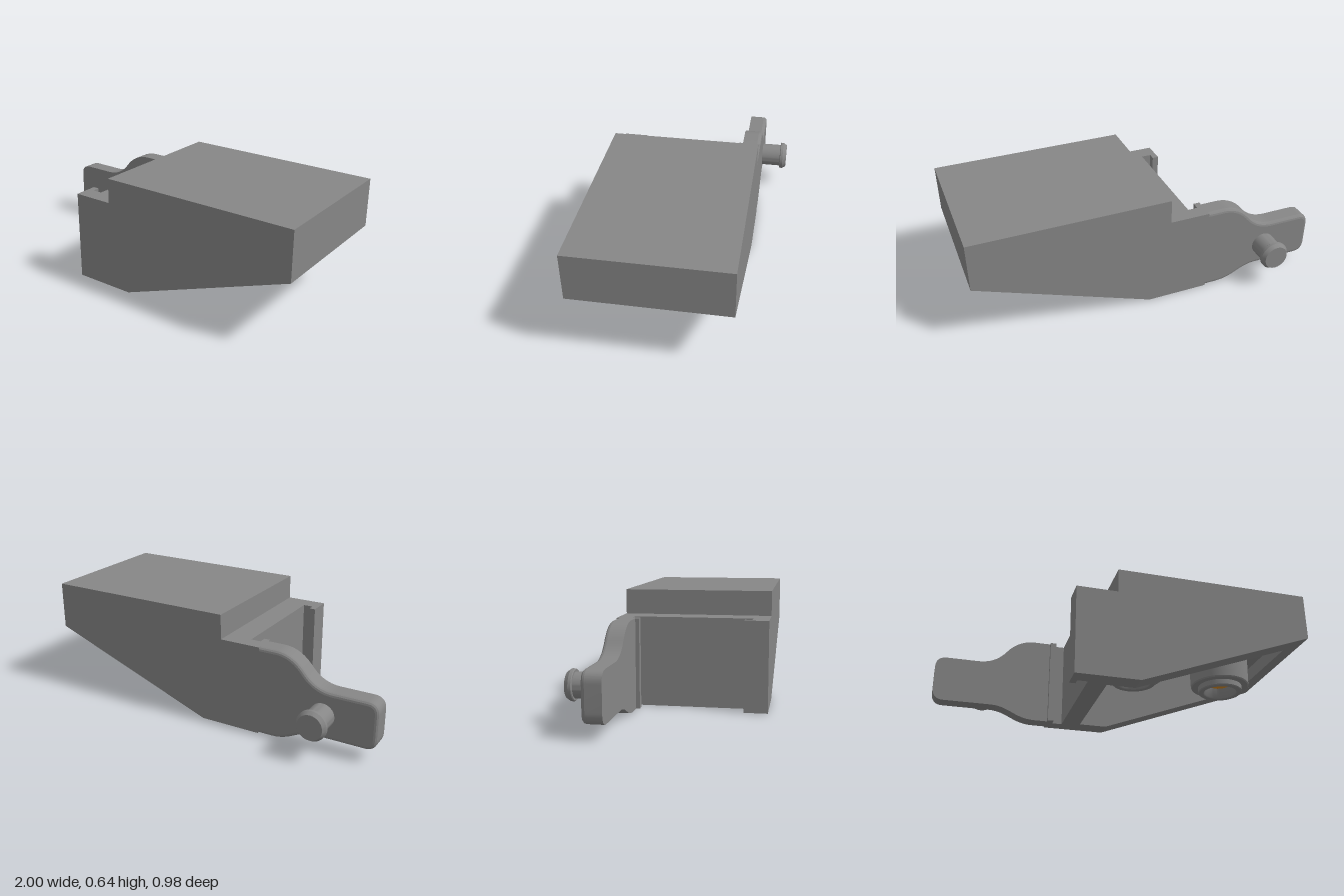
import * as THREE from 'three';
import { toCreasedNormals } from 'three/addons/utils/BufferGeometryUtils.js';

const grey = new THREE.MeshStandardMaterial({ color: 0x868686 });
const amber = new THREE.MeshStandardMaterial({ color: 0xd98a20 });

export function createModel() {
  const model = new THREE.Group();

  const add = (name, geometry, material = grey, parent = model) => {
    const mesh = new THREE.Mesh(geometry, material);
    mesh.name = name;
    parent.add(mesh);
    return mesh;
  };
  // box given by its limits on each axis
  const block = (name, [x0, x1], [y0, y1], [z0, z1]) => {
    const mesh = add(name, new THREE.BoxGeometry(x1 - x0, y1 - y0, z1 - z0));
    mesh.position.set((x0 + x1) / 2, (y0 + y1) / 2, (z0 + z1) / 2);
  };
  // side profile (x, y) extended from z0 to z1
  const prism = (name, points, z0, z1) => {
    const shape = new THREE.Shape(points.map(([x, y]) => new THREE.Vector2(x, y)));
    const geometry = new THREE.ExtrudeGeometry(shape, { depth: z1 - z0, bevelEnabled: false });
    add(name, geometry.translate(0, 0, z0));
  };
  const lathe = (points) => toCreasedNormals(
    new THREE.LatheGeometry(points.map(([r, y]) => new THREE.Vector2(r, y)), 48), 0.5);

  const back = -0.336, front = 0.491, wall = 0.108, ceiling = 0.41;

  // Wedge housing, hollow and open along its sloping underside
  const side = [[-0.245, 0], [0.015, 0], [1, 0.37], [1, 0.5], [-0.245, 0.5]];
  prism('backWall', side, back, back + wall);
  prism('frontWall', side, front - wall, front);
  block('endWall', [-0.245, -0.14], [0, 0.5], [back + wall, front - wall]);
  prism('noseWall', [[0.895, 0.331], [1, 0.37], [1, 0.5], [0.895, 0.5]], back + wall, front - wall);
  block('ceiling', [-0.14, 0.895], [ceiling, 0.5], [back + wall, front - wall]);
  block('lid', [-0.105, 1], [0.5, 0.638], [back, front]);

  // Grooved rails on the open end
  block('backRail', [-0.335, -0.245], [0, 0.5], [back, -0.255]);
  block('backRailLip', [-0.335, -0.3], [0, 0.5], [-0.255, -0.21]);
  block('frontRail', [-0.335, -0.245], [0, 0.5], [0.4, front]);
  block('frontRailLip', [-0.335, -0.3], [0, 0.5], [0.36, 0.4]);

  // Arm: square-edged inner layer, rounded outer layer at the back
  const arm = new THREE.Shape();
  arm.moveTo(-0.305, 0);
  arm.lineTo(-0.305, 0.5);
  arm.lineTo(-0.43, 0.5);
  arm.bezierCurveTo(-0.5, 0.5, -0.555, 0.465, -0.595, 0.415);
  arm.bezierCurveTo(-0.64, 0.36, -0.69, 0.335, -0.76, 0.335);
  arm.lineTo(-0.935, 0.335);
  arm.quadraticCurveTo(-1, 0.335, -1, 0.27);
  arm.lineTo(-1, 0.14);
  arm.quadraticCurveTo(-1, 0.071, -0.935, 0.071);
  arm.lineTo(-0.67, 0.071);
  arm.bezierCurveTo(-0.56, 0.071, -0.53, 0, -0.41, 0);
  const armLayer = (name, z, options) => {
    const geometry = new THREE.ExtrudeGeometry(arm, { curveSegments: 14, ...options });
    add(name, toCreasedNormals(geometry.translate(0, 0, z), 0.19));
  };
  const b = 0.02;
  armLayer('armInner', back + b, { depth: -0.231 - back - b, bevelEnabled: false });
  armLayer('armOuter', back + b, {
    depth: 0.01, bevelThickness: b, bevelSize: b, bevelOffset: -b, bevelSegments: 3,
  });

  // Peg on the back of the arm
  const peg = add('peg', lathe([
    [0, 0], [0.068, 0], [0.068, 0.119], [0.079, 0.119], [0.083, 0.123],
    [0.083, 0.138], [0.069, 0.16], [0, 0.16],
  ]));
  peg.rotation.x = -Math.PI / 2;
  peg.position.set(-0.703, 0.203, back + 0.005);

  // Two stepped sockets hanging inside the housing
  for (const x of [0.1, 0.628]) {
    const socket = new THREE.Group();
    socket.name = 'socket';
    socket.position.set(x, 0, 0.079);
    model.add(socket);
    add('socketBody', lathe([
      [0, 0.222], [0.075, 0.222], [0.09, 0.17], [0.096, 0.163], [0.122, 0.163], [0.127, 0.168],
      [0.127, 0.197], [0.163, 0.197], [0.168, 0.204], [0.171, 0.33], [0.171, ceiling + 0.01], [0, ceiling + 0.01],
    ]), grey, socket);
    add('contact', new THREE.CylinderGeometry(0.06, 0.06, 0.01, 32), amber, socket).position.y = 0.219;
  }

  return model;
}
